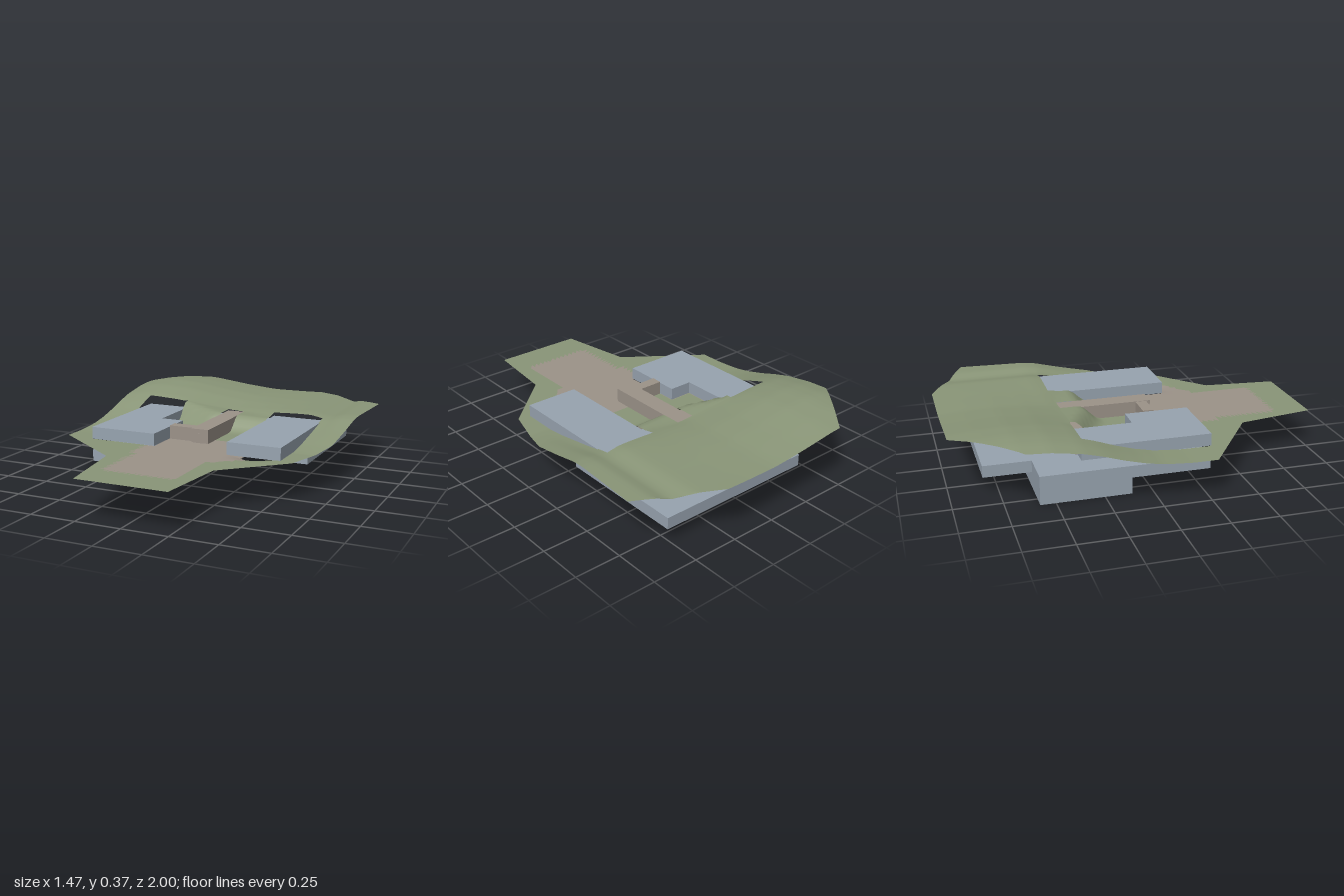
import * as THREE from 'three';

const grass = new THREE.MeshStandardMaterial({ color: 0x8a9678, side: THREE.DoubleSide });
grass.name = 'grass';
const paving = new THREE.MeshStandardMaterial({ color: 0x9c9389, side: THREE.DoubleSide });
paving.name = 'paving';
const cladding = new THREE.MeshStandardMaterial({ color: 0x98a4b0 });
cladding.name = 'cladding';
const stone = new THREE.MeshStandardMaterial({ color: 0x9c9389 });
stone.name = 'stone';

// piecewise linear lookup through [key, value] points
function lookup(points, t) {
  if (t <= points[0][0]) return points[0][1];
  for (let i = 1; i < points.length; i++) {
    const [a, va] = points[i - 1], [b, vb] = points[i];
    if (t <= b) return va + (vb - va) * (t - a) / (b - a);
  }
  return points[points.length - 1][1];
}

// left and right edges of the site, as z -> x
const leftEdge = [[-1, -0.46], [-0.67, -0.74], [0.28, -0.74], [0.58, -0.32], [1, -0.25]];
const rightEdge = [[-1, 0.31], [-0.79, 0.73], [-0.03, 0.69], [0.32, 0.59], [0.6, 0.29], [1, 0.25]];

// hill crest height across x, and how far the slope has risen along z
const crest = [[-0.74, 0.355], [-0.65, 0.37], [-0.55, 0.375], [-0.4, 0.365], [-0.2, 0.337], [0, 0.316],
  [0.2, 0.311], [0.45, 0.31], [0.5, 0.3], [0.54, 0.292], [0.58, 0.298], [0.62, 0.31], [0.73, 0.311]];
const slopeLeft = [[-1, 0.88], [-0.85, 0.96], [-0.7, 1], [-0.55, 0.94], [-0.4, 0.78], [-0.3, 0.6],
  [-0.2, 0.38], [-0.1, 0.2], [0, 0.07], [0.15, 0]];
const slopeRight = [[-0.42, 1], [-0.35, 0.92], [-0.2, 0.57], [0, 0.17], [0.12, 0]];
const bankLine = [[-0.32, -0.29], [-0.1, -0.2]];

// openings in the ground: [x0, x1, z0, z1]
const openings = [
  [-0.57, -0.32, -0.37, -0.04], [-0.57, -0.19, -0.04, 0.3],
  [0.23, 0.52, -0.37, 0.3], [-0.05, 0.05, -0.36, 0.14], [-0.19, -0.05, 0.07, 0.12],
];

function groundHeight(x, z) {
  const side = THREE.MathUtils.smoothstep(x, -0.1, 0.45);
  let rise = THREE.MathUtils.lerp(lookup(slopeLeft, z), lookup(slopeRight, z), side);
  if (x > -0.321 && x < 0.231) { // steep bank behind the courtyard
    const bank = lookup(bankLine, x);
    rise = Math.max(rise, 0.75) * (1 - THREE.MathUtils.smoothstep(z, bank - 0.06, bank + 0.06));
  }
  const dip = 0.025 * Math.max(0, 1 - Math.abs(x - 0.36) / 0.12) * Math.max(0, 1 - Math.abs(z - 0.3) / 0.06);
  return 0.211 + (lookup(crest, x) - 0.211) * rise - dip;
}

function isPaved(x, z) {
  if (z > 0.82) return false;
  if (z > 0.47) return x > -0.215 && x < 0.2;
  if (z > 0.29) return x > -0.24 && x < 0.38 - Math.max(0, z - 0.34) * 1.3;
  return x > -0.2 && x < 0.23 && z > (x > 0 ? 0.05 : 0.11);
}

// evenly spaced grid lines merged with exact ones
function gridLines(from, to, step, exact) {
  const lines = [...exact];
  for (let v = from; v < to + 1e-6; v += step) {
    if (!exact.some((e) => Math.abs(e - v) < 0.012)) lines.push(v);
  }
  return [...new Set(lines)].sort((a, b) => a - b);
}

function makeGround() {
  const xs = gridLines(-0.74, 0.74, 0.03, openings.flatMap((o) => [o[0], o[1]]));
  const zs = gridLines(-1, 1, 0.03, [-1, 1, ...openings.flatMap((o) => [o[2], o[3]]),
    ...leftEdge.map((p) => p[0]), ...rightEdge.map((p) => p[0])]);
  const pos = [], green = [], paved = [];
  for (const z of zs) {
    for (const column of xs) {
      const x = THREE.MathUtils.clamp(column, lookup(leftEdge, z), lookup(rightEdge, z));
      pos.push(x, groundHeight(x, z), z);
    }
  }
  const addTriangle = (...ids) => {
    const cx = ids.reduce((s, i) => s + pos[i * 3], 0) / 3;
    const cz = ids.reduce((s, i) => s + pos[i * 3 + 2], 0) / 3;
    const [a, b, c] = ids.map((i) => [pos[i * 3], pos[i * 3 + 2]]);
    const area = (b[0] - a[0]) * (c[1] - a[1]) - (b[1] - a[1]) * (c[0] - a[0]);
    if (Math.abs(area) > 1e-8) (isPaved(cx, cz) ? paved : green).push(...ids);
  };
  const n = xs.length;
  for (let j = 0; j < zs.length - 1; j++) {
    for (let i = 0; i < n - 1; i++) {
      const mx = (xs[i] + xs[i + 1]) / 2, mz = (zs[j] + zs[j + 1]) / 2;
      if (openings.some((o) => mx > o[0] && mx < o[1] && mz > o[2] && mz < o[3])) continue;
      const a = j * n + i;
      addTriangle(a, a + n, a + 1);
      addTriangle(a + 1, a + n, a + n + 1);
    }
  }
  const geometry = new THREE.BufferGeometry();
  geometry.setAttribute('position', new THREE.Float32BufferAttribute(pos, 3));
  geometry.setIndex([...green, ...paved]);
  geometry.addGroup(0, green.length, 0);
  geometry.addGroup(green.length, paved.length, 1);
  geometry.computeVertexNormals();
  const mesh = new THREE.Mesh(geometry, [grass, paving]);
  mesh.name = 'ground';
  return mesh;
}

// upright block from a plan outline of [x, z] points
function block(name, material, outline, y0, y1) {
  const shape = new THREE.Shape(outline.map(([x, z]) => new THREE.Vector2(x, -z)));
  const geometry = new THREE.ExtrudeGeometry(shape, { depth: y1 - y0, bevelEnabled: false });
  geometry.rotateX(-Math.PI / 2).translate(0, y0, 0);
  const mesh = new THREE.Mesh(geometry, material);
  mesh.name = name;
  return mesh;
}
const rect = (x0, x1, z0, z1) => [[x0, z0], [x0, z1], [x1, z1], [x1, z0]];

export function createModel() {
  const model = new THREE.Group();
  model.name = 'hillsideBuilding';
  model.add(makeGround());

  // pavilions at ground level
  model.add(block('westPavilion', cladding,
    [[-0.57, -0.37], [-0.57, 0.305], [-0.19, 0.305], [-0.19, -0.04], [-0.32, -0.04], [-0.32, -0.37]], 0.213, 0.279));
  model.add(block('eastPavilion', cladding, rect(0.23, 0.525, -0.37, 0.305), 0.213, 0.279));

  // buried storeys
  model.add(block('lowerWestWing', cladding, rect(-0.57, -0.19, -0.11, 0.305), 0.088, 0.152));
  model.add(block('basement', cladding, rect(-0.57, -0.19, -0.58, -0.11), 0, 0.152));
  model.add(block('lowerBackWing', cladding,
    [[-0.19, -0.11], [0.525, -0.11], [0.525, -0.83], [-0.37, -0.83], [-0.37, -0.58], [-0.19, -0.58]], 0.089, 0.152));

  // central hall, its floor, and the covered passages above
  model.add(block('hall', stone, rect(-0.19, 0.045, -0.35, 0.06), 0.086, 0.206));
  model.add(block('upperHall', stone, rect(-0.36, -0.19, -0.35, 0.06), 0.152, 0.206));
  model.add(block('hallFloor', stone, rect(-0.19, 0.15, -0.5, 0.06), 0.084, 0.0885));
  model.add(block('bridge', stone, rect(-0.05, 0.05, -0.36, 0.142), 0.125, 0.287));
  model.add(block('connector', stone, rect(-0.19, -0.05, 0.06, 0.12), 0.086, 0.285));
  for (const x of [-0.04, 0.0, 0.04]) {
    model.add(block('bridgePost', stone, rect(x - 0.006, x + 0.006, 0.06, 0.13), 0.086, 0.125));
  }
  // door plate at the end of the bridge
  model.add(block('bridgeDoor', stone, rect(-0.022, 0.018, 0.142, 0.145), 0.211, 0.265));
  return model;
}
